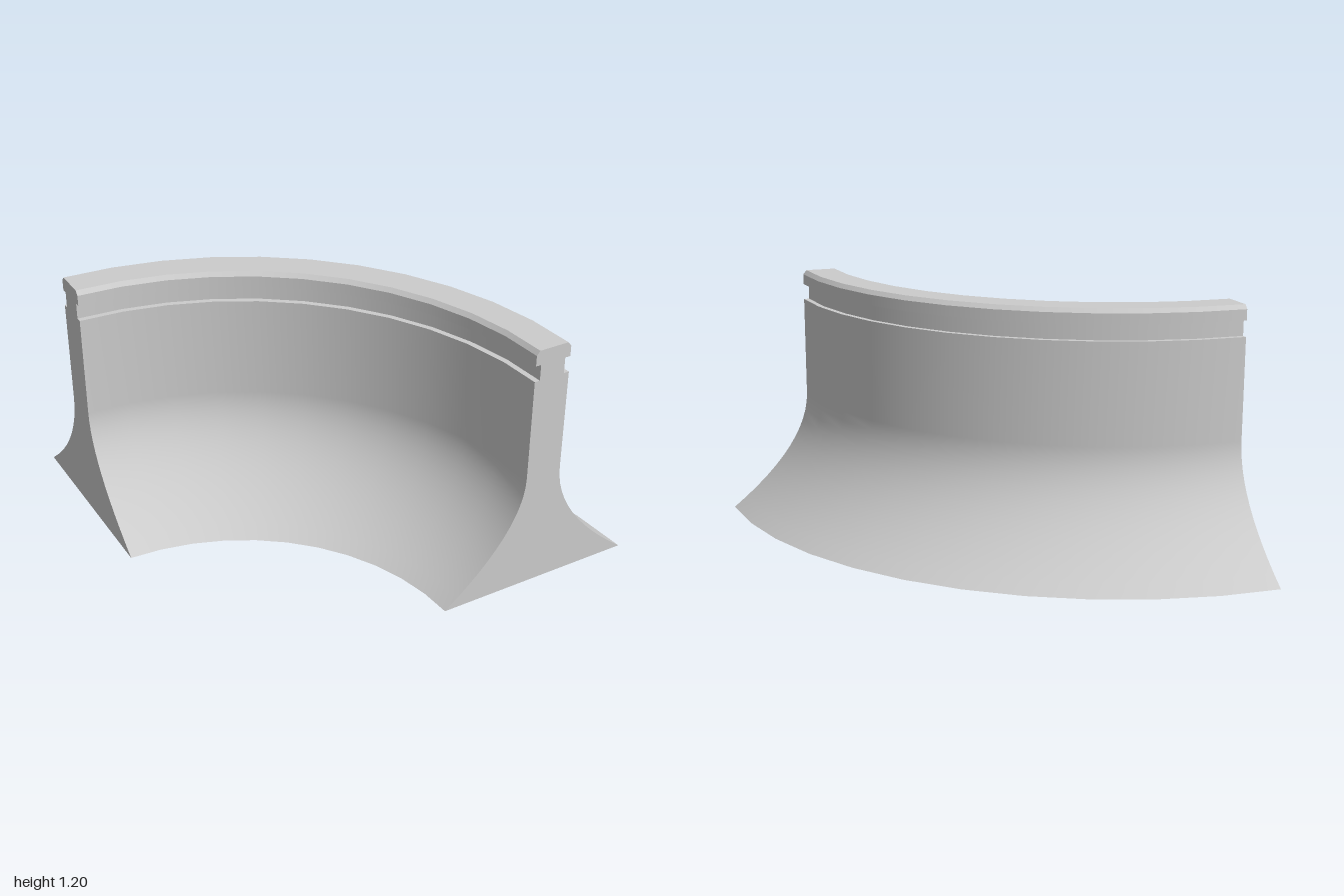
import * as THREE from 'three';

const SEGMENTS = 11;   // facets in the quarter turn
const MID = 1.518;     // radius of the wall's centre line
const BASE = 0.482;    // half width at the foot
const WALL = 0.088;    // half thickness of the wall
const NECK = 0.062;    // half thickness in the groove
const TOP = 0.072;     // half width of the flat top
const WALL_TOP = 1.05, GROOVE_TOP = 1.125, RIM_TOP = 1.175, HEIGHT = 1.195;

const material = new THREE.MeshStandardMaterial({ color: 0xcccccc, side: THREE.DoubleSide });

// Half profile as smooth strips of [offset from centre line, height], bottom to top
function profileStrips() {
  const flare = new THREE.QuadraticBezierCurve(
    new THREE.Vector2(BASE, 0), new THREE.Vector2(WALL, 0.3), new THREE.Vector2(WALL, 0.57)
  ).getPoints(12).map(p => [p.x, p.y]);
  return [
    ['flaredWall', [...flare, [WALL, WALL_TOP]]],
    ['grooveFloorLedge', [[WALL, WALL_TOP], [NECK, WALL_TOP]]],
    ['grooveNeck', [[NECK, WALL_TOP], [NECK, GROOVE_TOP]]],
    ['rimUnderside', [[NECK, GROOVE_TOP], [WALL, GROOVE_TOP]]],
    ['rimSide', [[WALL, GROOVE_TOP], [WALL, RIM_TOP]]],
    ['rimChamfer', [[WALL, RIM_TOP], [TOP, HEIGHT]]],
  ];
}

// Quarter-turn surface; the points run counterclockwise round the section
function sweep(name, points) {
  const geometry = new THREE.LatheGeometry(
    points.map(([r, y]) => new THREE.Vector2(r, y)), SEGMENTS, Math.PI / 2, Math.PI / 2);
  const mesh = new THREE.Mesh(geometry, material);
  mesh.name = name;
  return mesh;
}

export function createModel() {
  const group = new THREE.Group();
  group.name = 'quarterRingWall';
  const arc = new THREE.Group();
  arc.name = 'arc';
  arc.position.set(-1, 0, 1);   // centre of the arc
  group.add(arc);

  // Mirrored outer and inner skins; the foot stays open
  const outline = [], inner = [];
  for (const [name, points] of profileStrips()) {
    const out = points.map(([d, y]) => [MID + d, y]);
    const inn = points.map(([d, y]) => [MID - d, y]);
    arc.add(sweep(name + 'Outer', out), sweep(name + 'Inner', [...inn].reverse()));
    outline.push(...out.slice(outline.length ? 1 : 0));
    inner.push(...inn.slice(inner.length ? 1 : 0));
  }
  outline.push(...inner.reverse());

  // Flat top
  arc.add(sweep('rimTop', [[MID + TOP, HEIGHT], [MID - TOP, HEIGHT]]));

  // End faces with the full section
  for (const [name, sign, turn] of [['endFaceFront', 1, 0], ['endFaceSide', -1, -Math.PI / 2]]) {
    const shape = new THREE.Shape(outline.map(([r, y]) => new THREE.Vector2(sign * r, y)));
    const face = new THREE.Mesh(new THREE.ShapeGeometry(shape), material);
    face.name = name;
    face.rotation.y = turn;
    arc.add(face);
  }
  return group;
}
